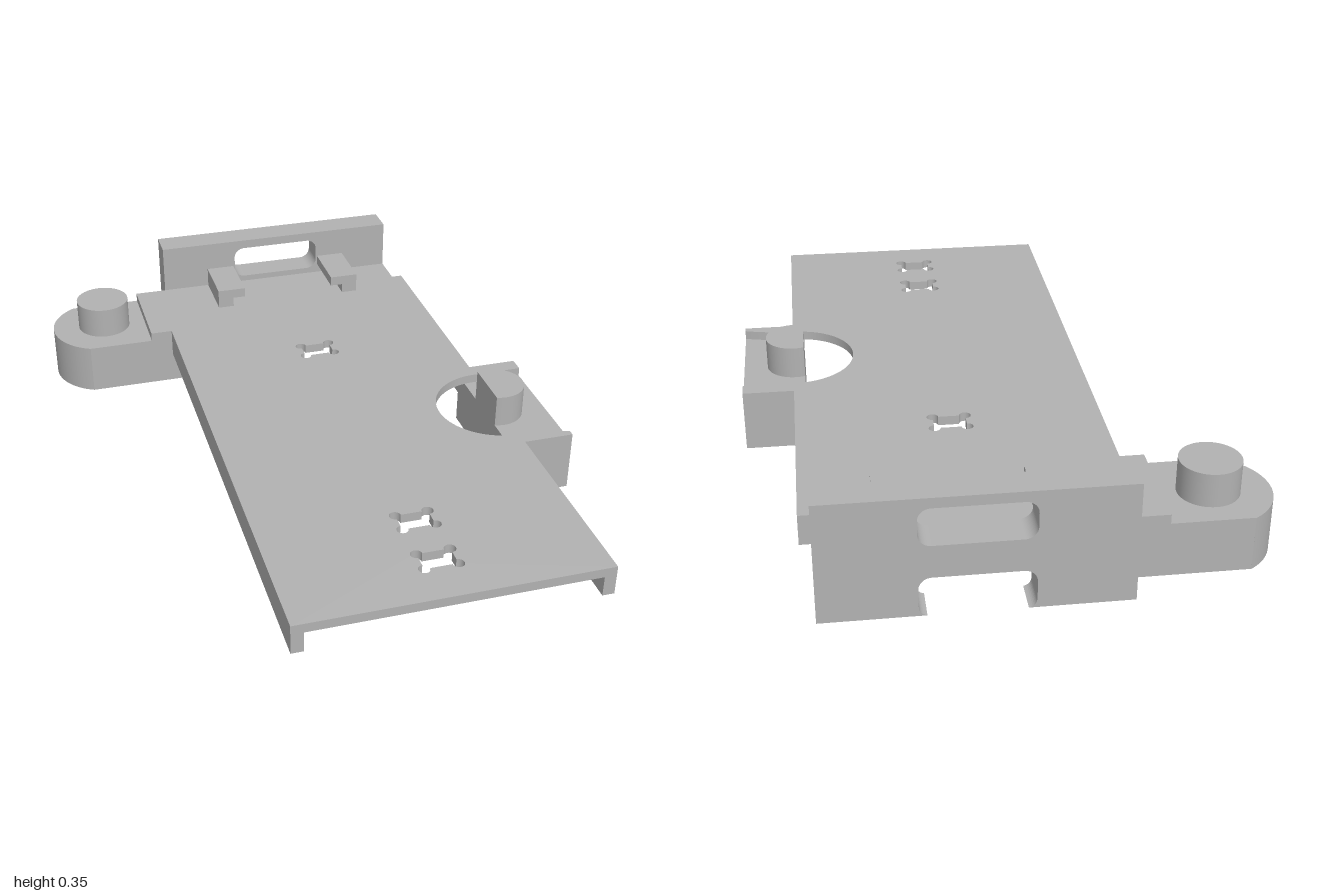
import * as THREE from 'three';

export function createModel() {
  const model = new THREE.Group();
  const gray = new THREE.MeshStandardMaterial({ color: 0xb2b2b2 });
  gray.name = 'plain gray';

  const add = (name, geometry) => {
    const mesh = new THREE.Mesh(geometry, gray);
    mesh.name = name;
    model.add(mesh);
    return mesh;
  };
  // Box given by its limits on each axis
  const box = (name, x0, x1, y0, y1, z0, z1) =>
    add(name, new THREE.BoxGeometry(x1 - x0, y1 - y0, z1 - z0)
      .translate((x0 + x1) / 2, (y0 + y1) / 2, (z0 + z1) / 2));
  // Outline drawn in x and z, made solid between two heights
  const slab = (name, shape, y0, y1) =>
    add(name, new THREE.ExtrudeGeometry(shape, { depth: y1 - y0, bevelEnabled: false, curveSegments: 32 })
      .rotateX(Math.PI / 2).translate(0, y1, 0));
  // Outline drawn in x and y, made solid between two depths
  const upright = (name, shape, z0, z1) =>
    add(name, new THREE.ExtrudeGeometry(shape, { depth: z1 - z0, bevelEnabled: false, curveSegments: 8 })
      .translate(0, 0, z0));
  const outline = (points) => new THREE.Shape(points.map(([x, y]) => new THREE.Vector2(x, y)));

  const top = 0.19, under = 0.162, wallZ = -0.905;

  // Top plate, including the side notch
  const plate = new THREE.Shape();
  plate.moveTo(-0.405, wallZ);
  plate.lineTo(0.525, wallZ);
  plate.lineTo(0.525, -0.79);
  plate.lineTo(0.56, -0.79);
  plate.lineTo(0.56, -0.09);
  plate.lineTo(0.715, -0.09);
  plate.lineTo(0.715, -0.04);
  plate.lineTo(0.555, -0.04);
  plate.absarc(0.555, 0.145, 0.185, Math.PI * 1.5, Math.PI * 0.5, true);
  plate.quadraticCurveTo(0.64, 0.33, 0.715, 0.355);
  plate.lineTo(0.715, 0.375);
  plate.lineTo(0.56, 0.375);
  plate.lineTo(0.56, 1);
  plate.lineTo(-0.335, 1);
  plate.lineTo(-0.335, -0.595);
  plate.lineTo(-0.405, -0.595);
  plate.closePath();

  // Slots with round reliefs at their four corners
  for (const z of [-0.34, 0.66, 0.84]) {
    const slot = new THREE.Path();
    [[1, 1], [-1, 1], [-1, -1], [1, -1]].forEach(([sx, sz], i) => {
      const start = (i - 1) * Math.PI / 2;
      slot.absarc(0.112 + sx * 0.048, z + sz * 0.033, 0.017, start, start + Math.PI * 1.5, false);
    });
    slot.closePath();
    plate.holes.push(slot);
  }
  slab('topPlate', plate, under, top);

  // Side flanges under the plate
  box('rightFlange', -0.335, -0.3, 0.1, under, -0.595, 1);
  box('leftFlange', 0.525, 0.56, 0.1, under, -0.79, 1);

  // Rear wall with a window above the plate and an opening below it
  const wall = new THREE.Shape();
  const a = -0.04, b = 0.265, r = 0.035;
  wall.moveTo(-0.3, 0);
  wall.lineTo(a + 0.022, 0);
  wall.quadraticCurveTo(a, 0.005, a, 0.03);
  wall.lineTo(a, 0.115 - r);
  wall.absarc(a + r, 0.115 - r, r, Math.PI, Math.PI / 2, true);
  wall.absarc(b - r, 0.115 - r, r, Math.PI / 2, 0, true);
  wall.lineTo(b, 0.03);
  wall.quadraticCurveTo(b, 0.005, b - 0.022, 0);
  wall.lineTo(0.525, 0);
  wall.lineTo(0.525, 0.35);
  wall.lineTo(-0.3, 0.35);
  wall.closePath();
  const windowHole = new THREE.Path();
  [[b - r, 0.32 - r], [a + r, 0.32 - r], [a + r, 0.21 + r], [b - r, 0.21 + r]].forEach(([x, y], i) =>
    windowHole.absarc(x, y, r, i * Math.PI / 2, (i + 1) * Math.PI / 2, false));
  windowHole.closePath();
  wall.holes.push(windowHole);
  upright('rearWall', wall, -1, wallZ);

  // Pair of hooked clips in front of the wall, mirrored about their middle
  const middle = 0.112;
  for (const s of [-1, 1]) {
    const clip = outline([[0.253, top], [0.253, 0.254], [0.158, 0.254], [0.158, 0.222], [0.2, 0.222], [0.2, top]]
      .map(([x, y]) => [middle + s * x, y]));
    upright(s < 0 ? 'rightClip' : 'leftClip', clip, wallZ, -0.72);
  }

  // Rounded ear with a round post
  const ear = new THREE.Shape();
  ear.moveTo(-0.3, wallZ);
  ear.lineTo(-0.635, wallZ);
  ear.absarc(-0.545, -0.755, 0.175, Math.PI + Math.atan2(0.15, 0.09), Math.PI - Math.atan2(0.16, 0.07), true);
  ear.lineTo(-0.3, -0.595);
  ear.closePath();
  slab('ear', ear, 0, under);
  add('earPost', new THREE.CylinderGeometry(0.087, 0.087, 0.112, 48).translate(-0.545, 0.206, -0.755));

  // Side block with a post cut flat on its inner side
  box('sideBlock', 0.525, 0.715, 0, under, -0.09, 0.375);
  const cut = Math.acos(-0.03 / 0.087);
  const post = new THREE.Shape();
  post.absarc(0.555, 0.142, 0.087, -cut, cut, false);
  post.closePath();
  slab('sidePost', post, 0.15, 0.262);

  return model;
}
